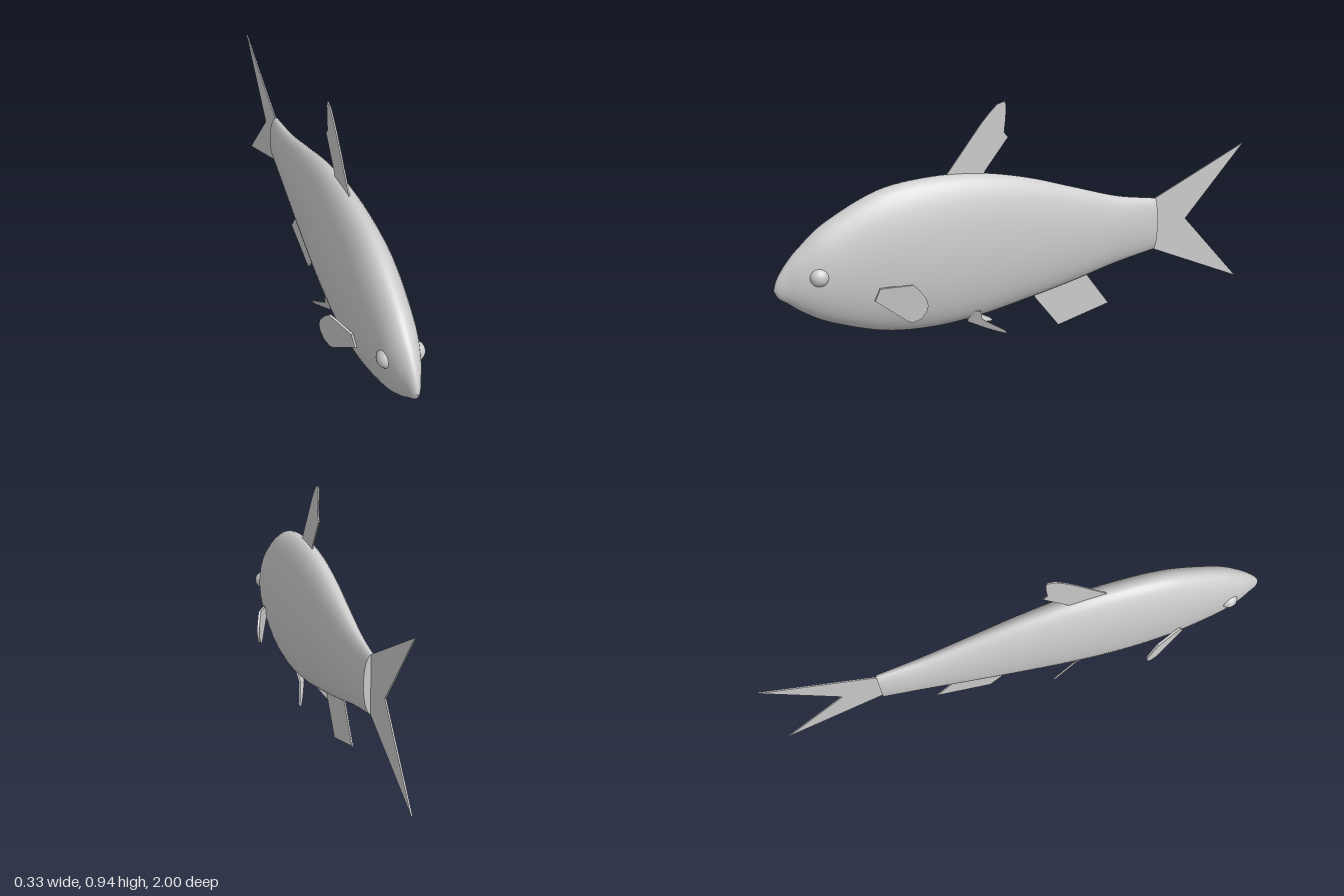
import * as THREE from 'three';

const skin = new THREE.MeshStandardMaterial({ color: 0xcccccc });
skin.name = 'pale grey';

// Body stations from nose to tail: z, top y, bottom y, half width
const STATIONS = [
  [1.0, 0.351, 0.349, 0.001], [0.985, 0.392, 0.317, 0.016], [0.95, 0.443, 0.29, 0.032],
  [0.9, 0.495, 0.25, 0.053], [0.8, 0.575, 0.192, 0.077], [0.6, 0.668, 0.122, 0.097],
  [0.4, 0.694, 0.1, 0.1], [0.2, 0.684, 0.113, 0.093], [0, 0.642, 0.146, 0.079],
  [-0.2, 0.578, 0.185, 0.062], [-0.4, 0.514, 0.23, 0.045], [-0.58, 0.48, 0.26, 0.029],
];

function bodyGeometry(rings = 66, sides = 48) {
  const outline = new THREE.CatmullRomCurve3(
    STATIONS.map(([z, top, bottom]) => new THREE.Vector3(z, top, bottom)), false, 'catmullrom');
  const width = new THREE.CatmullRomCurve3(
    STATIONS.map(([z, , , w]) => new THREE.Vector3(z, w, 0)), false, 'catmullrom');
  const positions = [], index = [];
  for (let i = 0; i <= rings; i++) {
    const { x: z, y: top, z: bottom } = outline.getPoint(i / rings);
    const w = width.getPoint(i / rings).y;
    for (let j = 0; j < sides; j++) {
      const a = (j / sides) * Math.PI * 2;
      positions.push(w * Math.cos(a), (top + bottom) / 2 + ((top - bottom) / 2) * Math.sin(a), z);
      if (i === rings) continue;
      const p = i * sides + j, q = i * sides + ((j + 1) % sides);
      index.push(p, p + sides, q, q, p + sides, q + sides);
    }
  }
  const g = new THREE.BufferGeometry();
  g.setAttribute('position', new THREE.Float32BufferAttribute(positions, 3));
  g.setIndex(index);
  g.computeVertexNormals();
  return g;
}

// Thin plate drawn as [z, y] points; offset(z, y) leans it sideways
function finGeometry(points, thickness, offset = () => 0) {
  const shape = new THREE.Shape(points.map(([z, y]) => new THREE.Vector2(z, y)));
  const g = new THREE.ExtrudeGeometry(shape, { depth: thickness, bevelEnabled: false });
  g.translate(0, 0, -thickness / 2);
  g.rotateY(-Math.PI / 2);
  const p = g.attributes.position;
  for (let i = 0; i < p.count; i++) p.setX(i, p.getX(i) + offset(p.getZ(i), p.getY(i)));
  g.computeVertexNormals();
  return g;
}

export function createModel() {
  const fish = new THREE.Group();
  fish.name = 'fish';
  const add = (name, geometry) => {
    const mesh = new THREE.Mesh(geometry, skin);
    mesh.name = name;
    fish.add(mesh);
    return mesh;
  };

  // Body with a flat end where the tail begins
  add('body', bodyGeometry());
  const end = add('bodyEnd', new THREE.CircleGeometry(1, 48).scale(0.029, 0.11, 1).rotateY(Math.PI));
  end.position.set(0, 0.37, -0.58);

  // Fins on the centre line
  add('tailFin', finGeometry(
    [[-0.57, 0.478], [-0.58, 0.48], [-1, 0.665], [-0.73, 0.372], [-1, 0.073], [-0.58, 0.26], [-0.57, 0.263]], 0.005));
  add('dorsalFin', finGeometry(
    [[0.33, 0.66], [0.33, 0.695], [0.19, 0.872], [0.155, 0.91], [0.123, 0.94], [0.092, 0.948],
      [0.087, 0.93], [0.09, 0.88], [0.096, 0.83], [0.08, 0.81], [0.176, 0.69], [0.19, 0.65]], 0.005));
  add('analFin', finGeometry(
    [[-0.02, 0.18], [-0.035, 0.14], [-0.14, 0.003], [-0.37, 0.058], [-0.27, 0.195], [-0.25, 0.23]], 0.005));

  // Paired parts
  for (const side of [1, -1]) {
    const label = side > 0 ? 'left' : 'right';
    const eye = add(label + 'Eye', new THREE.SphereGeometry(0.037, 32, 20));
    eye.position.set(side * 0.05, 0.394, 0.845);
    add(label + 'PectoralFin', finGeometry(
      [[0.655, 0.28], [0.636, 0.328], [0.525, 0.34], [0.505, 0.32], [0.483, 0.285],
        [0.478, 0.26], [0.484, 0.235], [0.503, 0.207], [0.533, 0.193], [0.55, 0.2]],
      0.01, (z) => side * (0.088 + 0.42 * (0.65 - z))));
    add(label + 'PelvicFin', finGeometry(
      [[0.265, 0.1], [0.26, 0.15], [0.225, 0.15], [0.215, 0.112], [0.17, 0.083], [0.13, 0.058],
        [0.12, 0.045], [0.135, 0.046], [0.19, 0.066]],
      0.007, (z, y) => side * (0.02 - 0.493 * (z - 0.26) + 0.347 * (y - 0.1))));
  }
  return fish;
}
